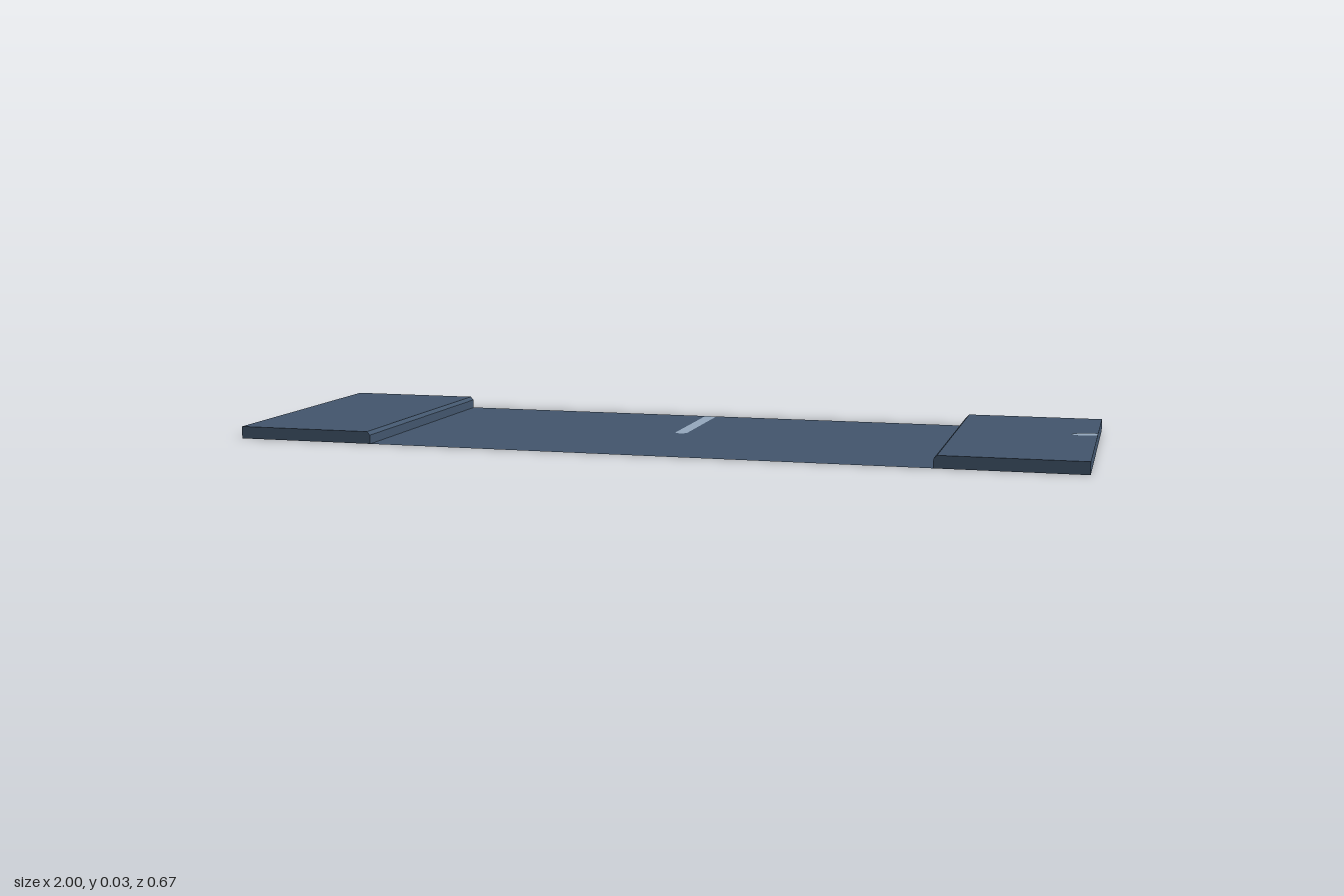
import * as THREE from 'three';

const HALF_DEPTH = 0.333, INNER = 0.665, HEIGHT = 0.029;

export function createModel() {
  const slate = new THREE.MeshStandardMaterial({ color: 0x42556c, side: THREE.DoubleSide });
  slate.name = 'slate blue';
  const pale = new THREE.MeshStandardMaterial({ color: 0x94a8bd, side: THREE.DoubleSide });
  pale.name = 'pale blue';

  const group = new THREE.Group();
  const add = (name, geometry, material) => {
    const mesh = new THREE.Mesh(geometry, material);
    mesh.name = name;
    group.add(mesh);
    return mesh;
  };
  // Shapes are drawn as (x, -z) and laid flat, facing up
  const flat = (shape) => new THREE.ShapeGeometry(shape, 16).rotateX(-Math.PI / 2);

  // Thin floor sheet, with a round-ended slot open to the back edge
  const w = 0.015, tip = 0.035;
  const floor = new THREE.Shape();
  floor.moveTo(-INNER, -HALF_DEPTH);
  floor.lineTo(INNER, -HALF_DEPTH);
  floor.lineTo(INNER, HALF_DEPTH);
  floor.lineTo(w, HALF_DEPTH);
  floor.lineTo(w, tip);
  floor.absarc(0, tip, w, 0, Math.PI, true);
  floor.lineTo(-w, HALF_DEPTH);
  floor.lineTo(-INNER, HALF_DEPTH);
  add('floorSheet', flat(floor), slate);

  // Pale stripe filling the slot, seen from both sides
  const stripe = new THREE.Shape();
  stripe.moveTo(w, HALF_DEPTH);
  stripe.lineTo(-w, HALF_DEPTH);
  stripe.lineTo(-w, tip);
  stripe.absarc(0, tip, w, Math.PI, Math.PI * 2, false);
  add('centreStripe', flat(stripe), pale);

  // Raised end slabs with a small bevel on the inner top edge
  const bevel = 0.008;
  const profile = new THREE.Shape([
    [INNER, 0], [1, 0], [1, HEIGHT], [INNER + bevel, HEIGHT], [INNER, HEIGHT - bevel],
  ].map(([x, y]) => new THREE.Vector2(x, y)));
  for (const [name, turn] of [['leftSlab', 0], ['rightSlab', Math.PI]]) {
    const slab = new THREE.ExtrudeGeometry(profile, { depth: HALF_DEPTH * 2, bevelEnabled: false });
    add(name, slab.translate(0, 0, -HALF_DEPTH).rotateY(turn), slate);
  }

  // Tilted oval spot on the left slab, cut off at its outer edge
  const oval = new THREE.EllipseCurve(0.975, 0.06, 0.037, 0.02, 0, Math.PI * 2, false, 0.3);
  const points = oval.getPoints(32).slice(0, -1);
  points.forEach((p) => { p.x = Math.min(p.x, 1); });
  add('ovalSpot', flat(new THREE.Shape(points)), pale).position.y = HEIGHT + 0.001;

  return group;
}
